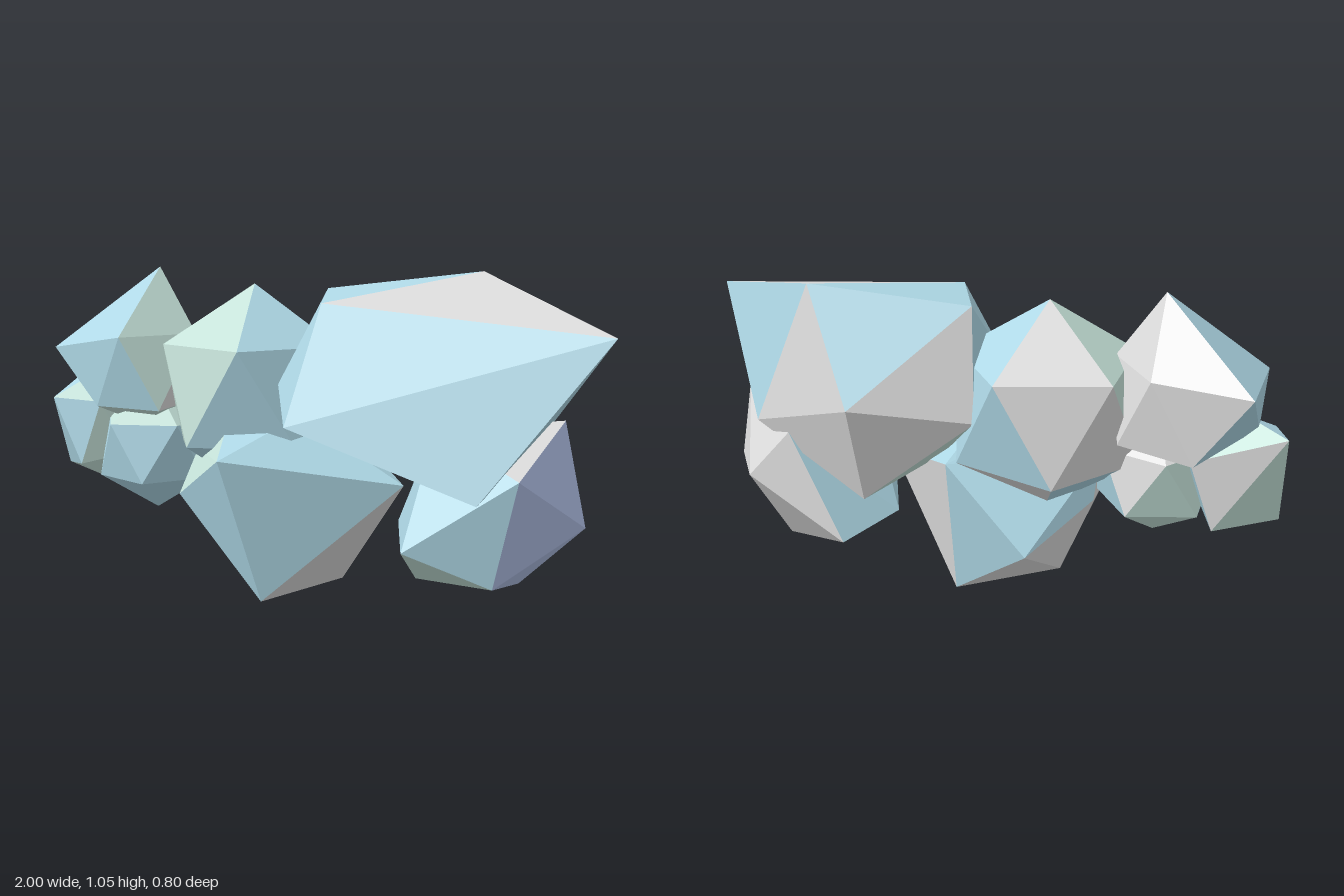
import * as THREE from 'three';
import { ConvexGeometry } from 'three/addons/geometries/ConvexGeometry.js';

const paint = (name, color) => {
  const m = new THREE.MeshStandardMaterial({ color });
  m.name = name;
  return m;
};
const MATERIALS = [
  paint('paleBlue', 0xaed8e6),
  paint('lightGrey', 0xdcdcdc),
  paint('paleGreen', 0xc5e2d9),
  paint('lavender', 0xb2c1e8),
];
const BLUE = 0, GREY = 1, GREEN = 2, LAVENDER = 3;

// Twelve corners of an upright icosahedron: a pole, two rings of five, a pole
function icoPoints([cx, cy, cz], r, ry, turn) {
  const pts = [[cx, cy + ry, cz], [cx, cy - ry, cz]];
  for (let i = 0; i < 5; i++) {
    const a = turn + (i * Math.PI * 2) / 5;
    const x = Math.cos(a) * r * 0.894, z = Math.sin(a) * r * 0.894;
    pts.push([cx + x, cy + ry * 0.447, cz + z], [cx - x, cy - ry * 0.447, cz - z]);
  }
  return pts;
}

// Faceted lump; each facet takes the colour of the closest listed direction
function lump(name, points, tints) {
  const geo = new ConvexGeometry(points.map((p) => new THREE.Vector3(...p)));
  const dirs = tints.map(([m, x, y, z]) => [m, new THREE.Vector3(x, y, z).normalize()]);
  const pos = geo.attributes.position;
  const tri = new THREE.Triangle(), n = new THREE.Vector3();
  for (let i = 0; i < pos.count; i += 3) {
    tri.setFromAttributeAndIndices(pos, i, i + 1, i + 2);
    tri.getNormal(n);
    const best = dirs.reduce((a, b) => (b[1].dot(n) > a[1].dot(n) ? b : a));
    geo.addGroup(i, 3, best[0]);
  }
  const mesh = new THREE.Mesh(geo, MATERIALS);
  mesh.name = name;
  return mesh;
}

export function createModel() {
  const group = new THREE.Group();
  group.name = 'facetedCluster';

  // Large lump, drawn out to a point on one side
  group.add(lump('largeLump', [
    [0.997, 0.89, 0.21], [0.47, 1.045, -0.22], [-0.025, 0.985, -0.1], [0.11, 0.96, 0.23],
    [0.06, 0.6, 0.385], [0.66, 0.42, 0.375], [0.275, 0.713, -0.4], [-0.07, 0.645, -0.215],
    [0.27, 0.376, -0.297], [0.7, 0.545, -0.17], [-0.06, 0.7, 0.19], [0.1, 0.45, -0.05],
  ], [
    [GREY, 0.25, 0.95, 0.1], [BLUE, -0.2, 0.95, 0], [BLUE, 0, 0.1, 1], [BLUE, 0.8, 0.3, -0.5],
    [BLUE, -0.27, 0.57, -0.76], [GREY, 0.4, 0.1, -0.9], [GREY, 0.4, -0.5, -0.75],
    [GREY, -0.51, 0.37, -0.81], [GREY, -0.4, -0.3, -0.85], [BLUE, -1, 0, 0.1],
    [BLUE, 0.2, -1, 0.3], [BLUE, 0.9, -0.3, 0.1], [GREEN, -0.7, -0.7, 0],
  ]));

  // Tall lump in the middle
  group.add(lump('middleLump', icoPoints([-0.245, 0.648, 0], 0.34, 0.352, 0), [
    [GREEN, -0.4, 0.75, 0.5], [GREEN, -0.8, 0.6, 0], [GREY, -0.25, 0.75, -0.6],
    [BLUE, 0.6, 0.75, 0.4], [BLUE, 0.6, 0.75, -0.4], [BLUE, 0.3, -0.2, 0.9],
    [GREEN, -0.6, 0.1, 0.8], [BLUE, 0.3, -0.2, -0.9], [GREY, -0.3, 0.2, -0.95],
    [GREY, -0.8, -0.1, -0.6], [BLUE, -0.8, -0.5, 0.2], [GREY, 0.3, -0.8, -0.4],
    [BLUE, 0, -0.9, 0.4], [BLUE, 1, -0.1, 0],
  ]));

  // Upper lump at the narrow end
  group.add(lump('upperLump', [
    [-0.6, 1.05, 0.02], [-0.6, 0.83, 0.275], [-0.905, 0.78, 0.21], [-0.905, 0.825, -0.22],
    [-0.6, 0.83, -0.175], [-0.45, 0.83, 0.04], [-0.905, 0.65, 0.02], [-0.71, 0.595, 0.25],
    [-0.48, 0.59, 0.23], [-0.5, 0.6, -0.13], [-0.74, 0.58, -0.18], [-0.66, 0.5, 0.03],
  ], [
    [BLUE, -0.4, 0.6, 0.6], [BLUE, -0.8, 0.6, 0], [GREEN, 0.7, 0.5, 0.5],
    [GREY, 0.8, 0.5, -0.4], [GREY, -0.1, 0.75, -0.65], [BLUE, -0.2, -0.2, 1],
    [BLUE, 0.4, -0.1, 0.9], [GREY, 0.2, -0.1, -1], [GREY, -0.3, -0.5, -0.8],
    [BLUE, -0.9, -0.4, 0], [GREEN, 0, -1, 0],
  ]));

  // Small lump at the very end
  group.add(lump('endLump', [
    [-1, 0.645, -0.04], [-0.99, 0.345, 0.04], [-0.945, 0.6, 0.18], [-0.82, 0.38, 0.2],
    [-0.81, 0.325, 0.1], [-0.7, 0.41, 0.1], [-0.755, 0.595, 0.17], [-0.8, 0.34, -0.1],
    [-0.72, 0.56, -0.1], [-0.86, 0.68, 0.04],
  ], [
    [BLUE, -0.3, 0, 0.95], [BLUE, -0.6, 0.7, 0.3], [GREEN, 0.7, 0, 0.7], [GREY, -0.2, 0.1, -1],
    [BLUE, 0.7, -0.1, -0.7], [GREEN, -0.7, 0, -0.7], [GREEN, 0, -1, 0], [GREEN, 0, 1, 0],
    [BLUE, -1, -0.1, 0.1],
  ]));

  // Small lump under the upper one
  group.add(lump('lowerSmallLump', icoPoints([-0.59, 0.443, 0.08], 0.215, 0.214, Math.PI), [
    [BLUE, 0, 0.2, 1], [BLUE, -0.6, 0.1, 0.7], [BLUE, 0.7, 0.1, 0.6], [GREEN, 0, 0.8, 0.5],
    [BLUE, 0, -0.9, 0.4], [BLUE, 0.7, -0.3, -0.7], [GREY, 0.4, 0.4, -0.8],
    [GREY, -0.2, 0.1, -0.95], [GREEN, -0.5, -0.3, -0.8], [GREEN, 0, -0.9, -0.4],
  ]));

  // Broad lump the cluster rests on
  group.add(lump('baseLump', [
    [-0.165, 0.48, 0.395], [-0.4, 0.325, 0.24], [-0.4, 0.325, 0.03], [-0.3, 0.065, 0.01],
    [-0.07, 0.02, 0.295], [0.025, 0.0, -0.113], [0.325, 0.39, 0.085], [-0.4, 0.455, 0.12],
    [-0.24, 0.56, 0.2], [-0.03, 0.59, 0.1], [0.03, 0.49, -0.2], [-0.26, 0.25, -0.288],
  ], [
    [BLUE, 0.4, 0.2, 0.9], [BLUE, -0.5, -0.2, 0.8], [GREEN, -0.5, 0.6, 0.6],
    [BLUE, 0.3, 0.9, 0.3], [GREY, 0.7, -0.7, 0.1], [GREY, 0.8, -0.2, -0.6],
    [BLUE, 0.1, -0.3, -0.95], [BLUE, -0.5, 0.5, -0.7], [GREY, -0.9, -0.4, -0.3],
    [GREY, -0.4, -0.7, -0.5], [BLUE, -0.85, -0.3, 0.5], [GREEN, -0.2, -1, 0.1],
  ]));

  // Low lump beneath the large one
  group.add(lump('lowSideLump', [
    [0.805, 0.617, -0.01], [0.76, 0.485, 0.305], [0.68, 0.154, 0.277], [0.89, 0.31, 0.05],
    [0.66, 0.08, -0.057], [0.71, 0.37, -0.235], [0.39, 0.115, 0.14], [0.43, 0.255, 0.365],
    [0.245, 0.235, -0.07], [0.47, 0.6, 0.2], [0.56, 0.54, -0.227], [0.364, 0.19, -0.267],
  ], [
    [LAVENDER, 0.9, 0.3, 0.4], [LAVENDER, 0.85, -0.2, 0.5], [LAVENDER, 0.8, -0.6, 0.1],
    [LAVENDER, 0.8, -0.4, -0.4], [GREY, 0.85, 0.3, -0.4], [GREY, 0.3, -0.3, -0.9],
    [GREY, 0, 0.1, -1], [BLUE, -0.7, 0.3, -0.6], [BLUE, 0, 0.3, 1], [BLUE, 0.1, -0.1, 1],
    [GREEN, -0.6, -0.4, 0.7], [GREEN, 0.1, -0.95, 0.3], [GREY, -0.1, -0.9, -0.4],
    [BLUE, -0.7, 0.6, 0.2], [GREY, 0.2, 1, 0],
  ]));

  return group;
}
